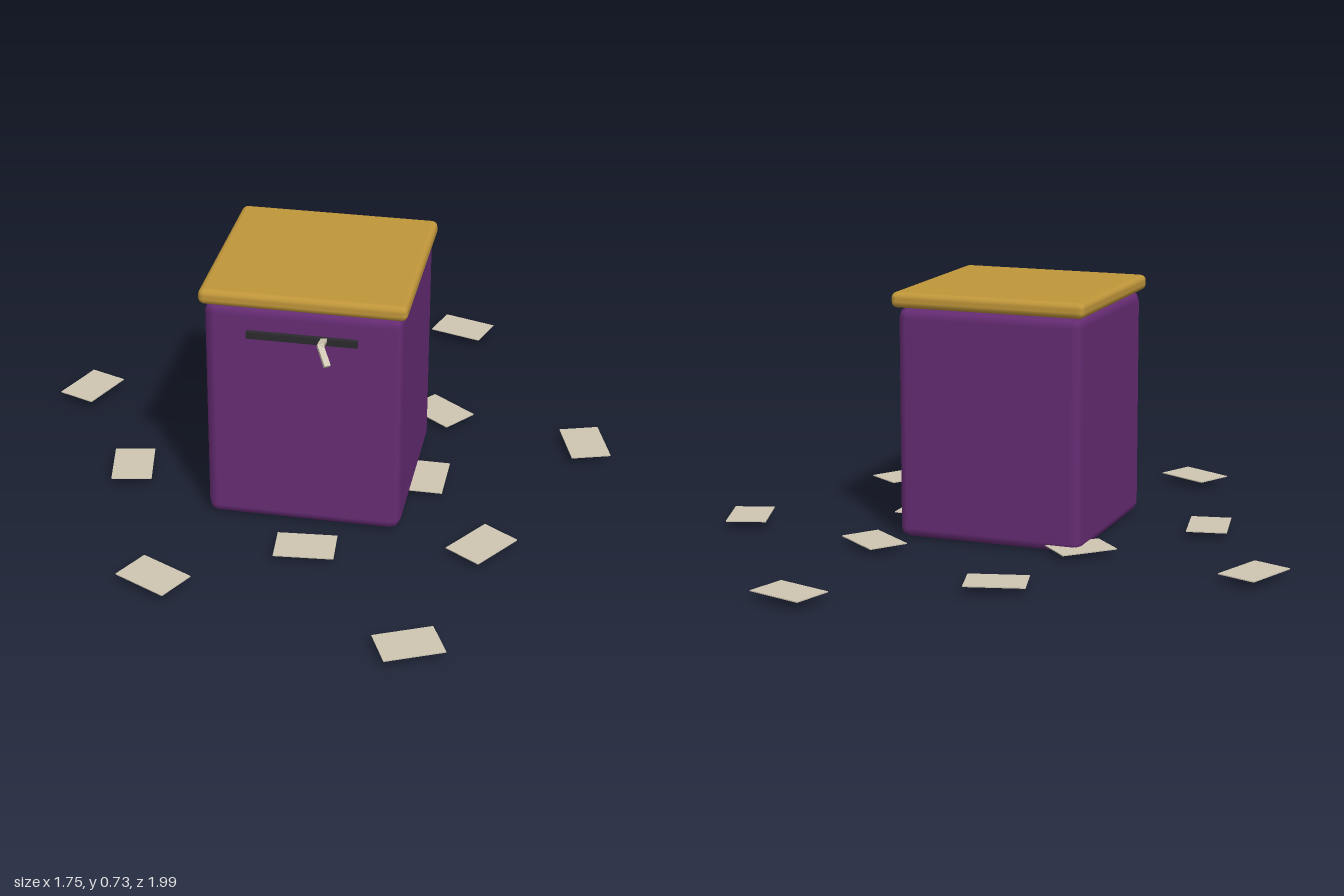
import * as THREE from 'three';
import { RoundedBoxGeometry } from 'three/addons/geometries/RoundedBoxGeometry.js';

function mat(name, color) {
  const m = new THREE.MeshStandardMaterial({ color });
  m.name = name;
  return m;
}

export function createModel() {
  const group = new THREE.Group();
  const purple = mat('purple', 0x662c74);
  const gold = mat('gold', 0xc0963a);
  const dark = mat('dark grey', 0x2b2a2e);
  const paper = mat('paper', 0xcfc6b2);

  function add(name, geometry, material, x, y, z) {
    const mesh = new THREE.Mesh(geometry, material);
    mesh.name = name;
    mesh.position.set(x, y, z);
    group.add(mesh);
    return mesh;
  }

  // Bevelled box with an overhanging lid
  add('body', new RoundedBoxGeometry(0.565, 0.685, 0.565, 1, 0.03), purple, 0.022, 0.3425, 0.048);
  add('lid', new RoundedBoxGeometry(0.59, 0.046, 0.59, 2, 0.018), gold, 0.022, 0.708, 0.048);

  // Slot on the front
  add('slot', new THREE.BoxGeometry(0.315, 0.02, 0.02), dark, 0.022, 0.605, 0.335);

  // Bent strip poking out of the slot
  const bend = [
    new THREE.Vector3(0.085, 0.608, 0.33),
    new THREE.Vector3(0.087, 0.622, 0.4),
    new THREE.Vector3(0.112, 0.585, 0.437),
  ];
  for (let i = 0; i < 2; i++) {
    const a = bend[i], b = bend[i + 1];
    const mid = a.clone().add(b).multiplyScalar(0.5);
    const strip = add('strip' + (i + 1), new THREE.BoxGeometry(0.018, 0.01, a.distanceTo(b) + 0.008), paper, mid.x, mid.y, mid.z);
    strip.lookAt(b);
  }

  // Slips scattered on the ground: x, z, turn in degrees
  const slips = [
    [0.32, -0.918, 17], [-0.158, -0.624, -15], [-0.79, -0.294, 111],
    [0.327, -0.355, 37], [0.789, -0.238, 72], [-0.258, -0.214, -45],
    [0.34, 0.043, 90], [-0.536, 0.143, 79], [0.06, 0.483, -5],
    [0.55, 0.381, 123], [-0.325, 0.714, 27], [0.422, 0.9, -25],
  ];
  const slipGeometry = new THREE.BoxGeometry(0.172, 0.003, 0.12);
  slips.forEach(([x, z, turn], i) => {
    const slip = add('slip' + (i + 1), slipGeometry, paper, x, 0.016 + 0.011 * Math.hypot(x, z), z);
    slip.rotation.y = -THREE.MathUtils.degToRad(turn);
  });

  return group;
}
